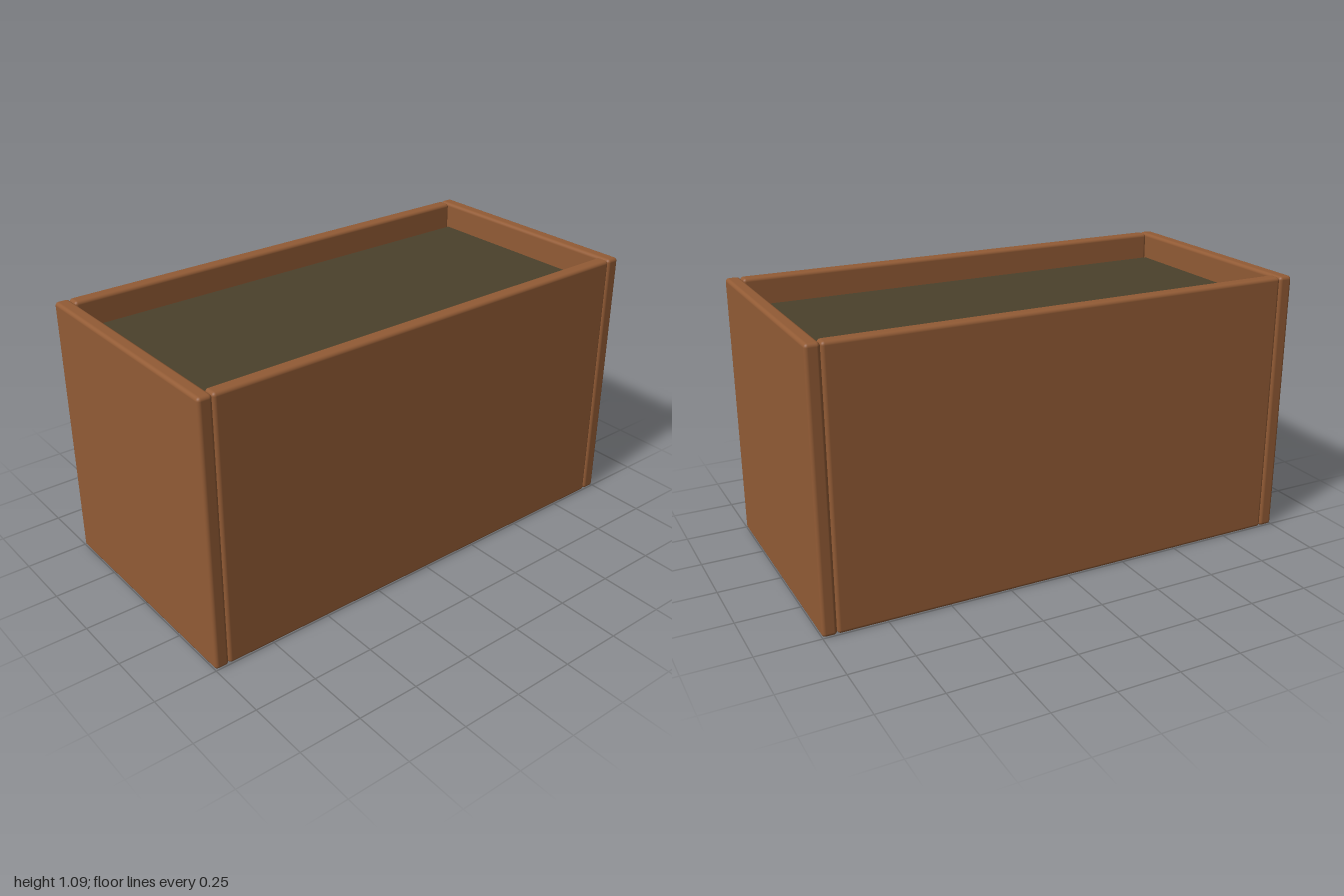
import * as THREE from 'three';
import { RoundedBoxGeometry } from 'three/addons/geometries/RoundedBoxGeometry.js';

export function createModel() {
  const wood = new THREE.MeshStandardMaterial({ name: 'wood', color: 0x925b35 });
  const soil = new THREE.MeshStandardMaterial({ name: 'soil', color: 0x4b412b });
  const model = new THREE.Group();
  model.name = 'planterBox';

  const width = 2, height = 1.085, depth = 1, board = 0.057, bevel = 0.014;
  const innerWidth = width - 2 * board, innerDepth = depth - 2 * board;

  const add = (name, geometry, material, x, y, z) => {
    const mesh = new THREE.Mesh(geometry, material);
    mesh.name = name;
    mesh.position.set(x, y, z);
    model.add(mesh);
  };

  // Boards with softened edges: full-depth ends, long boards fitted between them
  const endBoard = new RoundedBoxGeometry(board, height, depth, 3, bevel);
  const longBoard = new RoundedBoxGeometry(innerWidth, height, board, 3, bevel);
  for (const s of [1, -1]) {
    add(s > 0 ? 'leftEnd' : 'rightEnd', endBoard, wood, s * (width - board) / 2, height / 2, 0);
    add(s > 0 ? 'frontBoard' : 'backBoard', longBoard, wood, 0, height / 2, s * (depth - board) / 2);
  }

  // Floor panel, slightly recessed from the bottom rim
  const floorY = 0.02;
  add('floor', new THREE.BoxGeometry(innerWidth, board, innerDepth), wood, 0, floorY + board / 2, 0);

  // Soil fill, below the top rim
  const soilTop = 0.975, soilBase = floorY + board;
  add('soilFill', new THREE.BoxGeometry(innerWidth, soilTop - soilBase, innerDepth), soil,
    0, (soilTop + soilBase) / 2, 0);

  return model;
}
